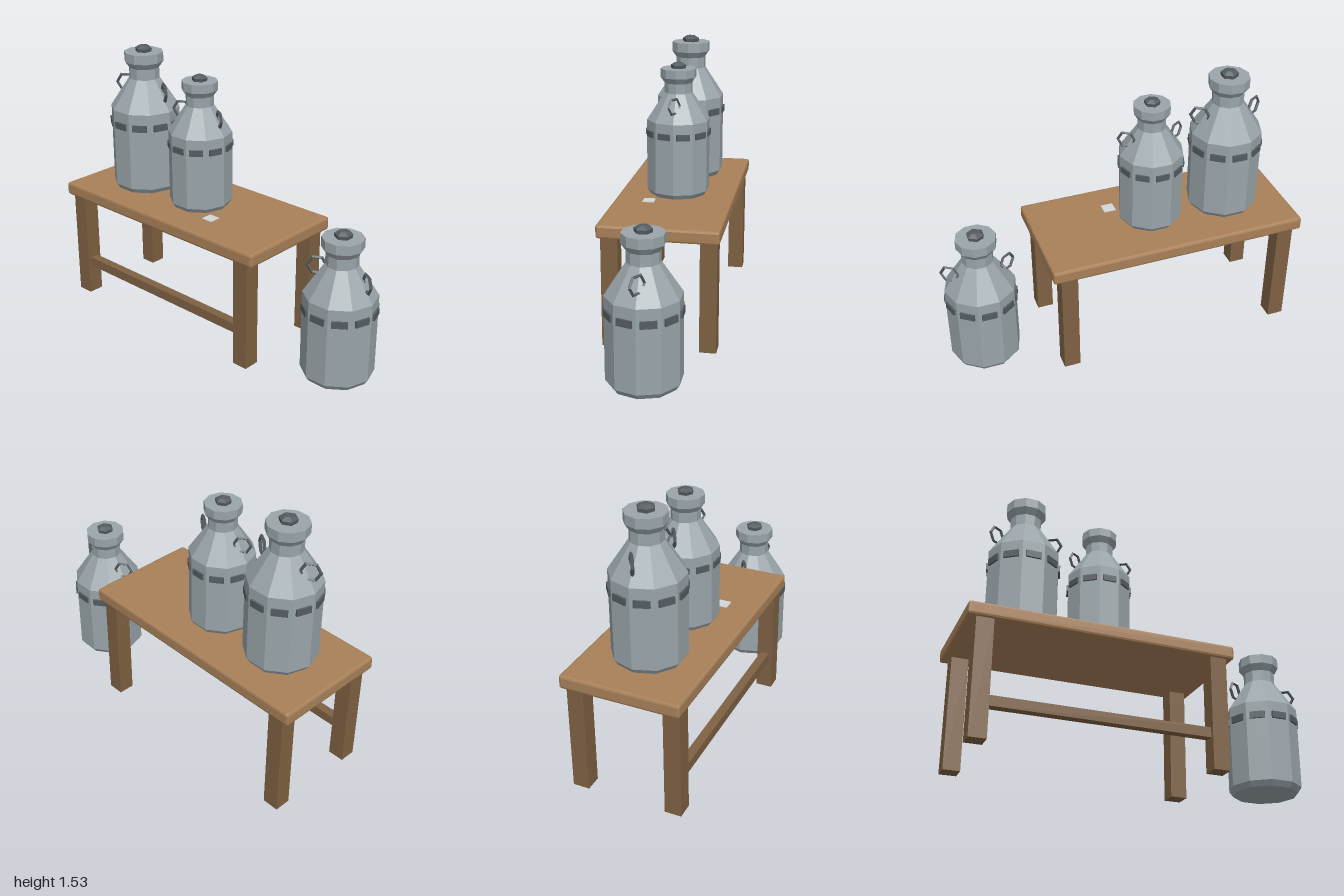
import * as THREE from 'three';
import { RoundedBoxGeometry } from 'three/addons/geometries/RoundedBoxGeometry.js';

const mat = (color) => new THREE.MeshStandardMaterial({ color, flatShading: true });

const tin = mat(0x9aa5aa);
const darkTin = mat(0x555c60);
const topWood = mat(0xa88058);
const legWood = mat(0x7e6142);
const paper = mat(0xd2d8da);

function add(parent, name, geometry, material, x = 0, y = 0, z = 0) {
  const mesh = new THREE.Mesh(geometry, material);
  mesh.name = name;
  mesh.position.set(x, y, z);
  parent.add(mesh);
  return mesh;
}

// Faceted turned form from [radius, height] pairs, bottom to top
function turned(profile, sides, start = 0) {
  return new THREE.LatheGeometry(profile.map(([r, y]) => new THREE.Vector2(r, y)), sides, start);
}

function createTable() {
  const table = new THREE.Group();
  table.name = 'table';
  const cx = -0.273;
  add(table, 'tableTop', new RoundedBoxGeometry(1.455, 0.075, 0.655, 1, 0.013), topWood, cx, 0.6625, 0);

  // Four square legs
  for (const sx of [-1, 1]) {
    for (const sz of [-1, 1]) {
      add(table, 'leg', new THREE.BoxGeometry(0.092, 0.63, 0.092), legWood, cx + sx * 0.637, 0.315, sz * 0.265);
    }
  }
  // Single stretcher between the front legs
  add(table, 'frontStretcher', new THREE.BoxGeometry(1.2, 0.055, 0.05), legWood, cx, 0.2025, 0.265);
  return table;
}

function createCan(name, x, y, scale) {
  const can = new THREE.Group();
  can.name = name;

  // Ten-sided body with shoulder and neck, corners on the x axis
  add(can, 'body', turned([
    [0, 0], [0.178, 0], [0.199, 0.03], [0.199, 0.48], [0.087, 0.65], [0.087, 0.715],
  ], 10, Math.PI / 2), tin);

  // Flared lid
  add(can, 'lid', turned([
    [0.087, 0.712], [0.112, 0.747], [0.112, 0.8], [0, 0.8],
  ], 10, Math.PI / 2), tin);

  // Hexagonal knob
  add(can, 'lidKnob', turned([
    [0.046, 0.798], [0.049, 0.82], [0.024, 0.835], [0, 0.835],
  ], 6), darkTin);

  // One stud on the middle of each flat
  for (let i = 0; i < 10; i++) {
    const a = (i * Math.PI) / 5;
    const stud = add(can, 'stud', new THREE.BoxGeometry(0.084, 0.038, 0.03), darkTin,
      Math.sin(a) * 0.185, 0.4, Math.cos(a) * 0.185);
    stud.rotation.y = a;
  }

  // Ring handles, swung slightly forward
  for (const s of [-1, 1]) {
    const ring = add(can, s > 0 ? 'leftHandle' : 'rightHandle',
      new THREE.TorusGeometry(0.051, 0.009, 4, 6), darkTin, s * 0.159, 0.588, 0);
    ring.rotation.y = -s * 0.57;
  }

  can.position.set(x, y, 0);
  can.scale.setScalar(scale);
  return can;
}

export function createModel() {
  const model = new THREE.Group();
  model.name = 'tableWithCans';
  model.add(createTable());
  model.add(createCan('largeCan', -0.647, 0.7, 1));
  model.add(createCan('smallCan', -0.209, 0.7, 0.896));
  model.add(createCan('floorCan', 0.786, 0, 1));

  // Small note lying on the table
  add(model, 'note', new THREE.BoxGeometry(0.068, 0.004, 0.066), paper, -0.01, 0.702, 0.132);
  return model;
}
